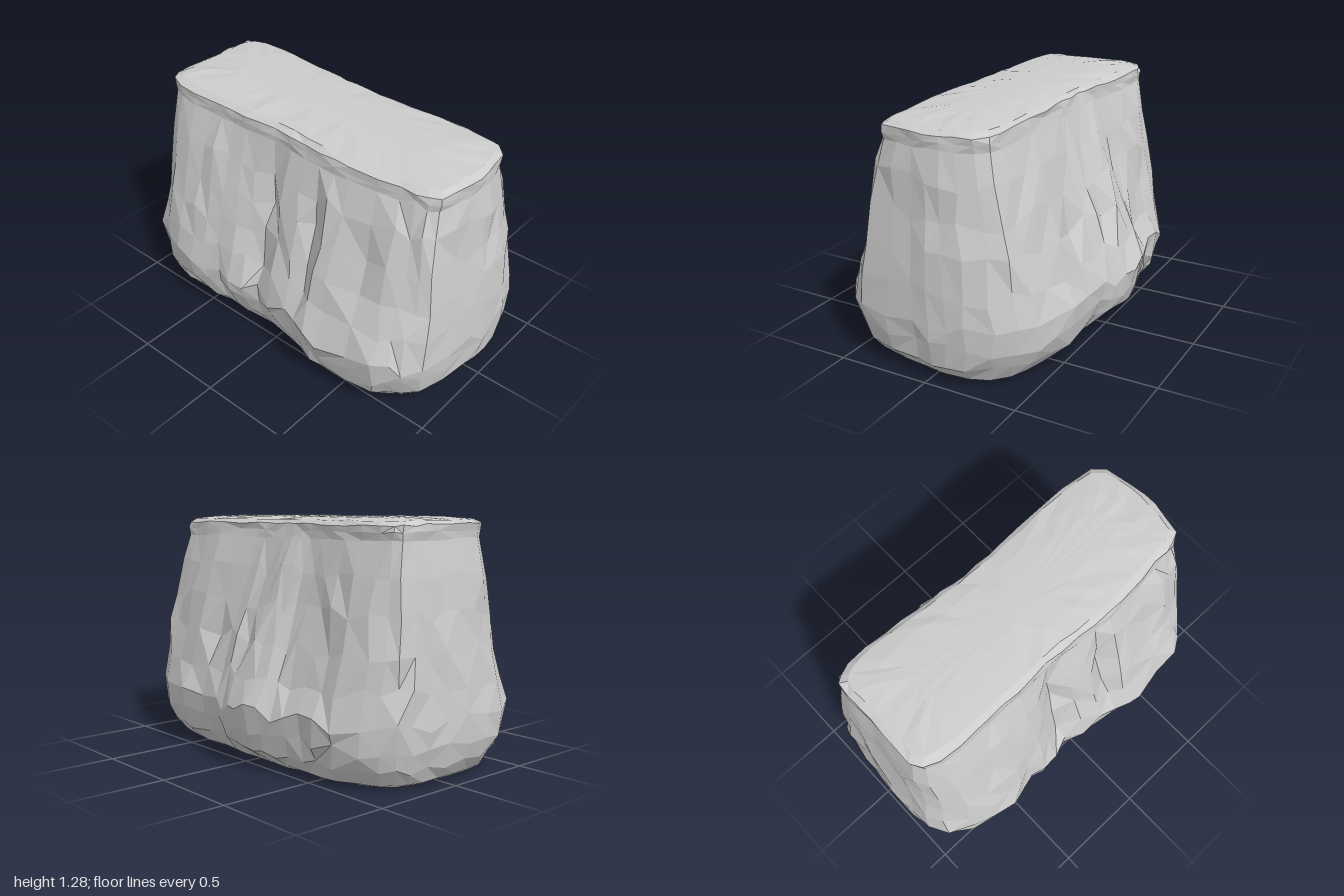
import * as THREE from 'three';

// Plan outline pairs: [widest x, widest z, top x, top z], starting at the back and running round by +x
const OUTLINE = [
  [-0.24, -0.99, -0.18, -0.89], [0, -0.99, 0, -0.89], [0.2, -0.98, 0.13, -0.89], [0.35, -0.94, 0.26, -0.885],
  [0.45, -0.85, 0.3, -0.82], [0.54, -0.64, 0.31, -0.63], [0.54, -0.47, 0.3, -0.45], [0.57, -0.32, 0.28, -0.3],
  [0.61, -0.21, 0.28, -0.19], [0.63, -0.08, 0.27, -0.07], [0.6, 0.07, 0.27, 0.07], [0.55, 0.2, 0.27, 0.2],
  [0.55, 0.5, 0.29, 0.48], [0.5, 0.72, 0.28, 0.7], [0.42, 0.89, 0.26, 0.84], [0.22, 0.98, 0.13, 0.89],
  [0.05, 0.99, 0, 0.91], [-0.12, 0.97, -0.12, 0.9], [-0.43, 0.92, -0.28, 0.87], [-0.54, 0.82, -0.32, 0.78],
  [-0.6, 0.7, -0.33, 0.65], [-0.63, 0.4, -0.36, 0.4], [-0.62, 0.27, -0.36, 0.25], [-0.58, 0.1, -0.35, 0.08],
  [-0.55, -0.1, -0.34, -0.1], [-0.57, -0.25, -0.35, -0.26], [-0.56, -0.4, -0.35, -0.42], [-0.59, -0.55, -0.35, -0.55],
  [-0.56, -0.76, -0.35, -0.75], [-0.44, -0.94, -0.3, -0.88],
];

// Rings from the ground up: [y, blend from top to widest outline, x scale, z scale, roughness, height wobble]
const RINGS = [
  [0.01, 1, 0.75, 0.9, 0.006, 0.004], [0.025, 1, 0.81, 0.92, 0.008, 0.008], [0.1, 1, 0.92, 0.965, 0.016, 0.05],
  [0.2, 1, 0.97, 0.99, 0.02, 0.06], [0.31, 1, 1, 1, 0.016, 0.08], [0.47, 0.82, 1, 1, 0.024, 0.08],
  [0.64, 0.62, 1, 1, 0.024, 0.08], [0.82, 0.42, 1, 1, 0.022, 0.08], [1, 0.23, 1, 1, 0.016, 0.08],
  [1.16, 0.05, 0.985, 0.99, 0.006, 0.012], [1.195, 0, 1.01, 1, 0.008, 0.015], [1.23, 0, 1, 1, 0.008, 0.012],
  [1.25, 0, 0.91, 0.96, 0.008, 0.006], [1.262, 0, 0.62, 0.83, 0.008, 0.01], [1.268, 0, 0.32, 0.7, 0.002, 0.002],
];

// Vertical grooves on the two long sides, negative depth bulges: [side, z, half width, depth]
const GROOVES = [
  [-1, -0.12, 0.1, 0.08], [-1, 0.22, 0.1, 0.06], [-1, 0.58, 0.08, 0.03], [-1, -0.5, 0.4, -0.03],
  [1, 0.03, 0.08, 0.02], [1, -0.32, 0.1, 0.025], [1, 0.34, 0.1, 0.015], [1, -0.6, 0.08, 0.015],
];

const SEGMENTS = 50;

function makeRandom(seed) {
  return () => {
    seed = (seed * 16807) % 2147483647;
    return seed / 2147483647 - 0.5;
  };
}

function sampleOutline(column) {
  const points = OUTLINE.map((p) => new THREE.Vector3(p[column], 0, p[column + 1]));
  const curve = new THREE.CatmullRomCurve3(points, true, 'centripetal');
  return Array.from({ length: SEGMENTS }, (_, i) => curve.getPoint(i / SEGMENTS));
}

function rockGeometry() {
  const random = makeRandom(4217);
  const wide = sampleOutline(0);
  const top = sampleOutline(2);
  const positions = [];
  const index = [];

  RINGS.forEach(([y, blend, sx, sz, rough, wobble]) => {
    const onWall = y > 0.3 && y < 1.1;
    for (let i = 0; i < SEGMENTS; i++) {
      const p = top[i].clone().lerp(wide[i], blend);
      p.x *= sx;
      p.z *= sz;
      // The foot is straighter along the +x side
      if (y < 0.05) p.x = Math.min(p.x, 0.42 + y);
      // Carve the grooves deepest at mid height
      if (onWall) {
        const { x, z } = p;
        const fade = Math.sin(((y - 0.26) / 0.9) * Math.PI);
        GROOVES.forEach(([side, centre, width, depth]) => {
          const d = 1 - Math.abs(z - centre) / width;
          if (side * x > 0 && d > 0) p.x -= side * depth * d * fade;
        });
      }
      p.x += random() * rough * 1.4;
      p.z += random() * rough * 1.4;
      // The lid rises gently towards the back
      const lift = y > 1.1 ? -0.012 * p.z : 0;
      positions.push(p.x, y + lift + random() * wobble, p.z);
    }
  });

  // Wall and lid faces, with varied diagonals for a chipped look
  for (let r = 0; r < RINGS.length - 1; r++) {
    for (let i = 0; i < SEGMENTS; i++) {
      const j = (i + 1) % SEGMENTS;
      const a = r * SEGMENTS + i;
      const b = r * SEGMENTS + j;
      const c = b + SEGMENTS;
      const d = a + SEGMENTS;
      if (random() > 0) index.push(a, d, c, a, c, b);
      else index.push(a, d, b, d, c, b);
    }
  }

  // Close the underside and the middle of the lid
  const under = positions.length / 3;
  positions.push(0, 0, 0, -0.03, 1.27, 0);
  const last = (RINGS.length - 1) * SEGMENTS;
  for (let i = 0; i < SEGMENTS; i++) {
    const j = (i + 1) % SEGMENTS;
    index.push(under, i, j, under + 1, last + j, last + i);
  }

  const geometry = new THREE.BufferGeometry();
  geometry.setAttribute('position', new THREE.Float32BufferAttribute(positions, 3));
  geometry.setIndex(index);
  geometry.computeVertexNormals();
  return geometry;
}

export function createModel() {
  const group = new THREE.Group();
  group.name = 'boulder';
  const material = new THREE.MeshStandardMaterial({ color: 0xcccccc, flatShading: true });
  const rock = new THREE.Mesh(rockGeometry(), material);
  rock.name = 'rock';
  group.add(rock);
  return group;
}
